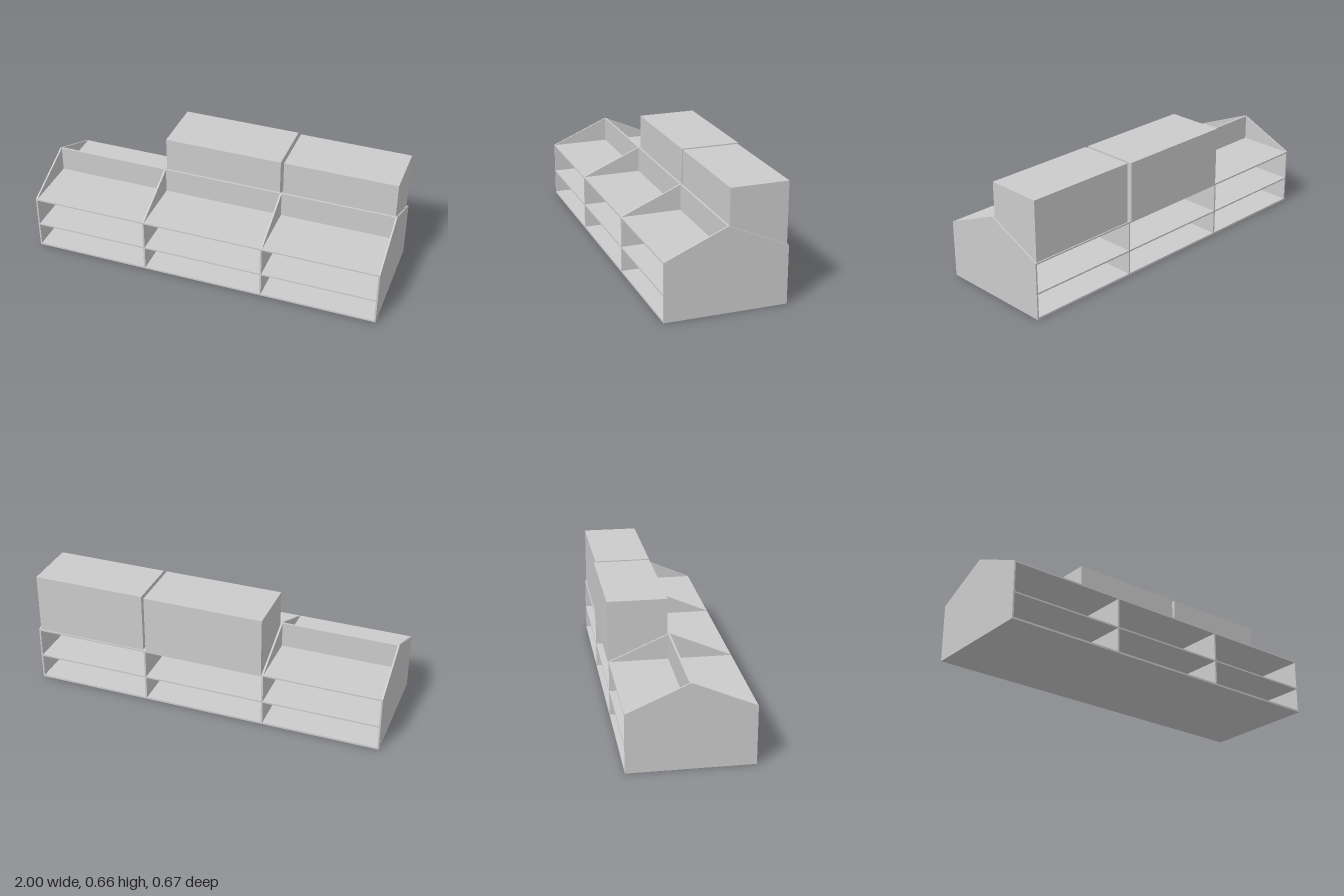
import * as THREE from 'three';

const material = new THREE.MeshStandardMaterial({ color: 0xcccccc, flatShading: true });

// Box given by its limits on each axis
function slab(name, [x0, x1], [y0, y1], [z0, z1]) {
  const mesh = new THREE.Mesh(new THREE.BoxGeometry(x1 - x0, y1 - y0, z1 - z0), material);
  mesh.position.set((x0 + x1) / 2, (y0 + y1) / 2, (z0 + z1) / 2);
  mesh.name = name;
  return mesh;
}

// Gable-shaped upright, drawn in (z, y) and extruded along x
function upright(name, x0, x1) {
  const shape = new THREE.Shape();
  shape.moveTo(-0.33, 0);
  shape.lineTo(0.335, 0);
  shape.lineTo(0.335, 0.32);
  shape.lineTo(0.002, 0.463);
  shape.lineTo(-0.004, 0.463);
  shape.lineTo(-0.33, 0.32);
  const geometry = new THREE.ExtrudeGeometry(shape, { depth: x1 - x0, bevelEnabled: false });
  geometry.rotateY(-Math.PI / 2); // shape x -> z, depth -> -x
  geometry.translate(x1, 0, 0);
  const mesh = new THREE.Mesh(geometry, material);
  mesh.name = name;
  return mesh;
}

export function createModel() {
  const model = new THREE.Group();
  model.name = 'doubleSidedShelf';

  // Outer sides and the two dividers
  const uprights = [[-1, -0.991], [-0.347, -0.337], [0.339, 0.349], [0.987, 0.996]];
  uprights.forEach(([a, b], i) => {
    model.add(upright(i === 0 || i === 3 ? 'sidePanel' : 'divider', a, b));
  });

  // Three bays, each with floor, two shelves and a central back wall
  for (let bay = 0; bay < 3; bay++) {
    const x = [uprights[bay][1], uprights[bay + 1][0]];
    for (const y of [[0, 0.011], [0.142, 0.151], [0.311, 0.32]]) {
      model.add(slab('shelf', x, y, [-0.33, 0.335]));
    }
    model.add(slab('centreWall', x, [0.011, 0.463], [-0.01, 0.001]));
  }

  // Boxes standing on the rear top shelf
  model.add(slab('middleBox', [-0.335, 0.335], [0.32, 0.657], [-0.335, -0.011]));
  model.add(slab('endBox', [0.353, 0.985], [0.32, 0.657], [-0.324, -0.011]));

  return model;
}
